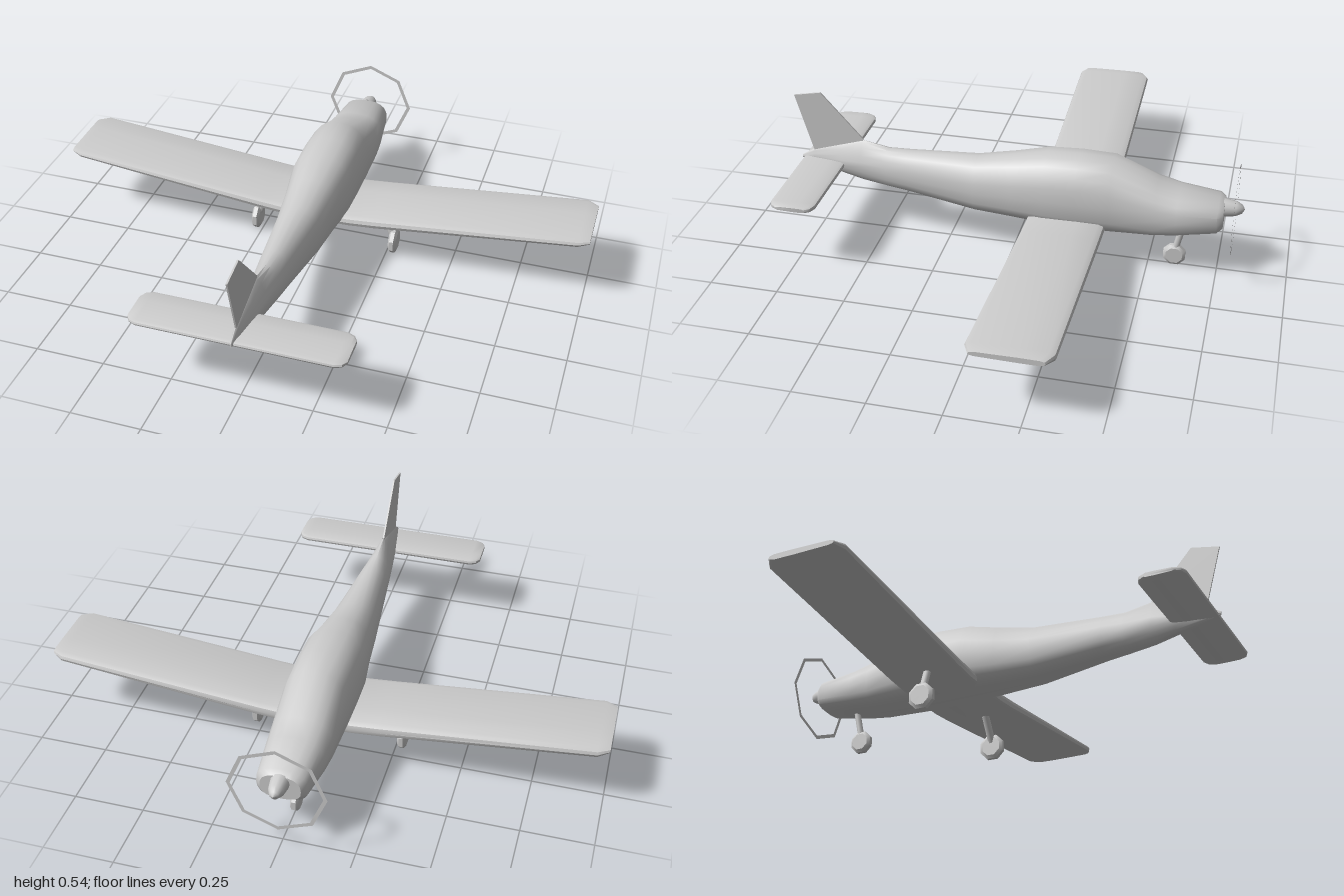
import * as THREE from 'three';
import { toCreasedNormals } from 'three/addons/utils/BufferGeometryUtils.js';

const material = new THREE.MeshStandardMaterial({ color: 0xcccccc, side: THREE.DoubleSide });

function part(name, geometry, parent) {
  const mesh = new THREE.Mesh(geometry, material);
  mesh.name = name;
  parent.add(mesh);
  return mesh;
}

// Skin a list of closed rings of [x, y, z] points, capped at both ends, facing outward.
function loft(rings, crease) {
  const n = rings[0].length, pos = rings.flat(2), idx = [];
  for (let r = 0; r < rings.length - 1; r++) {
    for (let i = 0; i < n; i++) {
      const a = r * n + i, b = r * n + (i + 1) % n;
      idx.push(a, b, a + n, b, b + n, a + n);
    }
  }
  const last = (rings.length - 1) * n;
  for (let i = 1; i < n - 1; i++) {
    idx.push(0, i + 1, i, last, last + i, last + i + 1);
  }
  // A negative volume means the faces point inward
  let volume = 0;
  const v = (i) => new THREE.Vector3().fromArray(pos, i * 3);
  for (let i = 0; i < idx.length; i += 3) volume += v(idx[i]).dot(v(idx[i + 1]).cross(v(idx[i + 2])));
  if (volume < 0) idx.reverse();
  const g = new THREE.BufferGeometry();
  g.setAttribute('position', new THREE.Float32BufferAttribute(pos, 3));
  g.setIndex(idx);
  return toCreasedNormals(g, crease);
}

// Cross-section of the body: a superellipse with its own exponent above and below
function bodyRing([z, bottom, top, half, expUp, expDown]) {
  const ring = [], mid = bottom + (top - bottom) * 0.45, count = 20;
  for (let i = 0; i < count; i++) {
    const a = (i / count) * Math.PI * 2, c = Math.cos(a), s = Math.sin(a);
    const e = 2 / (s >= 0 ? expUp : expDown);
    const x = half * Math.sign(c) * Math.abs(c) ** e;
    const y = mid + (s >= 0 ? top - mid : mid - bottom) * Math.sign(s) * Math.abs(s) ** e;
    ring.push([x, y, z]);
  }
  return ring;
}

// Rounded slab profile shared by the wing and tailplane: [chord fraction, height fraction]
const foil = [[0, 0], [0.015, 0.6], [0.08, 0.95], [0.35, 1], [0.92, 0.8], [0.985, 0.5], [1, 0],
  [0.985, -0.5], [0.92, -0.8], [0.35, -1], [0.08, -0.95], [0.015, -0.6]];

// Mirrored lifting surface from half-span stations [x, y, thickness, zFront, zBack]
function surface(stations) {
  const all = [...stations.slice(1).reverse().map(([x, ...rest]) => [-x, ...rest]), ...stations];
  return loft(all.map(([x, y, t, z0, z1]) =>
    foil.map(([u, v]) => [x, y + v * t / 2, z0 + u * (z1 - z0)])), 0.6);
}

// Straight leg between two points
function leg(name, from, to, radius, parent) {
  const a = new THREE.Vector3(...from), b = new THREE.Vector3(...to);
  const m = part(name, new THREE.CylinderGeometry(radius, radius, a.distanceTo(b), 8), parent);
  m.position.copy(a).add(b).multiplyScalar(0.5);
  m.quaternion.setFromUnitVectors(new THREE.Vector3(0, 1, 0), b.sub(a).normalize());
}

// Eight-sided wheel with bevelled edges, axle along x
function wheel(name, x, y, z, radius, width, parent) {
  const r = radius, w = width / 2;
  const profile = [[0, -w], [r * 0.75, -w], [r, -w * 0.5], [r, w * 0.5], [r * 0.75, w], [0, w]]
    .map(([px, py]) => new THREE.Vector2(px, py));
  const g = new THREE.LatheGeometry(profile, 8, Math.PI / 8).rotateZ(Math.PI / 2);
  part(name, toCreasedNormals(g, 0.5), parent).position.set(x, y, z);
}

export function createModel() {
  const plane = new THREE.Group();
  plane.name = 'lightAircraft';

  // Fuselage stations, nose to tail: z, bottom, top, half width, upper and lower exponent
  const body = [
    [-0.76, 0.195, 0.29, 0.07, 2.6, 2.6],
    [-0.74, 0.178, 0.303, 0.088, 2.6, 2.6],
    [-0.6, 0.156, 0.32, 0.105, 2.5, 2.8],
    [-0.52, 0.148, 0.342, 0.111, 2.4, 3],
    [-0.36, 0.142, 0.415, 0.118, 2.2, 3.2],
    [-0.24, 0.142, 0.416, 0.119, 2.4, 3.2],
    [-0.12, 0.144, 0.41, 0.117, 2.4, 3.2],
    [0.0, 0.146, 0.383, 0.1, 2.3, 3],
    [0.14, 0.15, 0.356, 0.086, 2.2, 2.8],
    [0.4, 0.184, 0.346, 0.06, 2, 2.4],
    [0.48, 0.192, 0.346, 0.052, 1.8, 2.3],
    [0.58, 0.204, 0.368, 0.042, 1.2, 2.2],
    [0.66, 0.222, 0.343, 0.032, 1.2, 2],
    [0.77, 0.25, 0.308, 0.013, 1.3, 2],
    [0.82, 0.263, 0.276, 0.003, 2, 2],
  ];
  part('fuselage', loft(body.map(bodyRing), 0.7), plane);

  // Wing with dihedral and clipped tips
  part('wing', surface([
    [0, 0.171, 0.05, -0.35, -0.065],
    [0.12, 0.172, 0.052, -0.35, -0.065],
    [0.22, 0.18, 0.052, -0.35, -0.065],
    [0.96, 0.258, 0.034, -0.35, -0.065],
    [1.0, 0.26, 0.02, -0.325, -0.085],
  ]), plane);

  // Tailplane
  part('tailplane', surface([
    [0, 0.267, 0.024, 0.645, 0.812],
    [0.335, 0.267, 0.024, 0.645, 0.812],
    [0.36, 0.267, 0.021, 0.655, 0.802],
    [0.372, 0.267, 0.016, 0.675, 0.782],
  ]), plane);

  // Swept fin, outline as [y, z]
  const fin = [[0.37, 0.575], [0.545, 0.73], [0.525, 0.832], [0.3, 0.77], [0.3, 0.6]];
  part('fin', loft([-0.003, 0.003].map((x) => fin.map(([y, z]) => [x, y, z])), 0.3), plane);

  // Spinner and the thin octagonal propeller ring
  const cone = [[0.034, 0], [0.027, 0.045], [0.016, 0.066], [0, 0.075]].map(([r, h]) => new THREE.Vector2(r, h));
  part('spinner', new THREE.LatheGeometry(cone, 12).rotateX(-Math.PI / 2), plane)
    .position.set(0, 0.263, -0.755);
  part('propellerRing', new THREE.RingGeometry(0.156, 0.17, 8), plane).position.set(0, 0.261, -0.798);

  // Landing gear
  for (const side of [1, -1]) {
    const name = side > 0 ? 'left' : 'right';
    leg(name + 'MainLeg', [side * 0.225, 0.165, -0.19], [side * 0.272, 0.06, -0.183], 0.014, plane);
    wheel(name + 'MainWheel', side * 0.273, 0.047, -0.183, 0.05, 0.03, plane);
  }
  leg('noseLeg', [0, 0.17, -0.62], [0, 0.05, -0.594], 0.012, plane);
  wheel('noseWheel', 0, 0.041, -0.594, 0.043, 0.03, plane);

  return plane;
}
